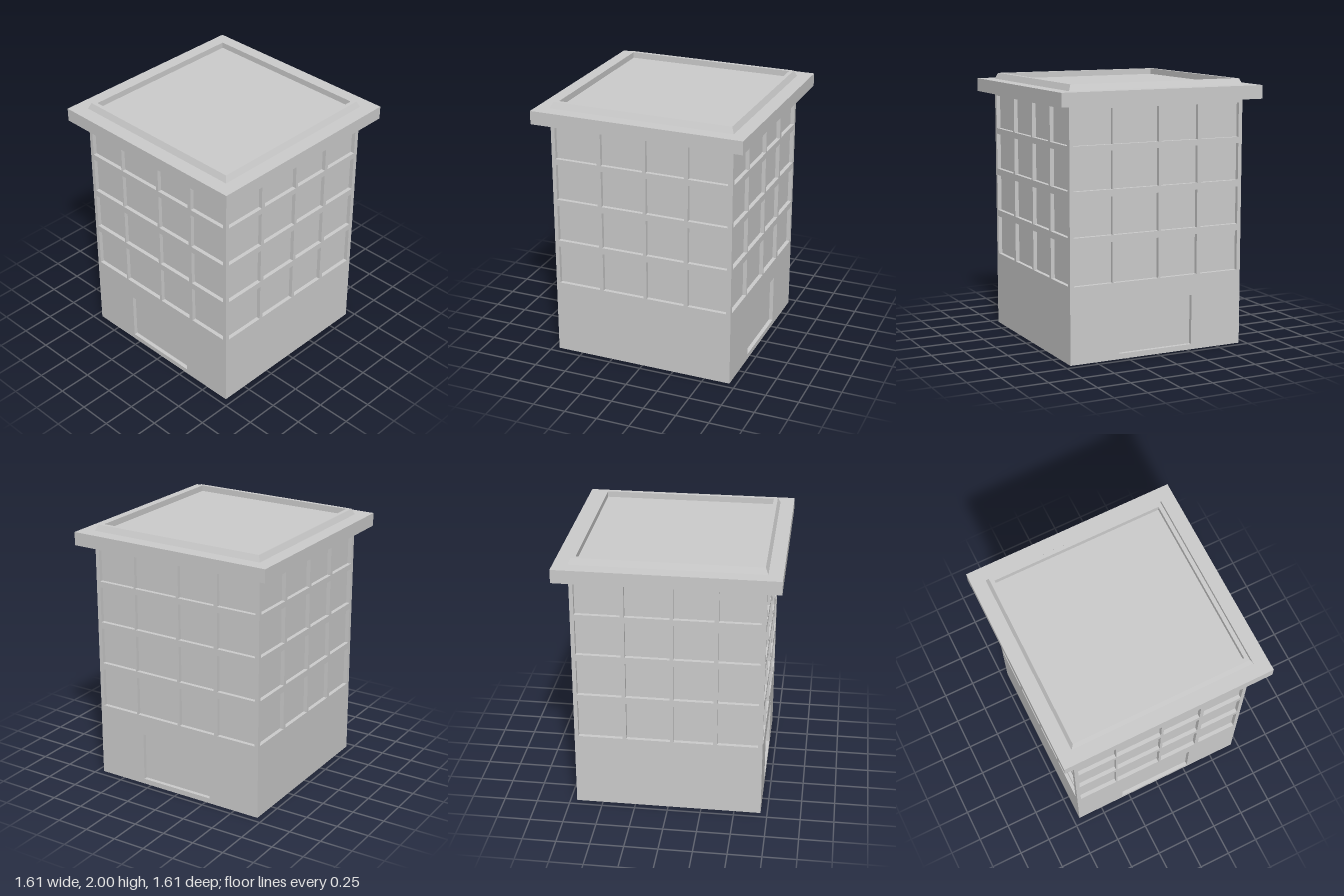
import * as THREE from 'three';

const material = new THREE.MeshStandardMaterial({ color: 0xcccccc, flatShading: true });

const HALF = 0.7;      // half width of the walls
const DEPTH = 0.03;    // depth of the window recesses
const WALL_TOP = 1.855;

const ROWS = [[0.57, 0.87], [0.92, 1.2], [1.25, 1.525], [1.57, 1.825]];
const FRONT_COLUMNS = [[-0.67, -0.34], [-0.31, 0.015], [0.04, 0.335], [0.365, 0.665]];
const SIDE_COLUMNS = [[-0.67, -0.365], [-0.355, 0.005], [0.025, 0.325], [0.355, 0.67]];
SIDE_COLUMNS[1][1] = -0.005 + 0.01;
const DOOR = { u: [-0.31, 0.285], v: [0.04, 0.415] };

function addBox(group, name, w, h, d, y) {
  const mesh = new THREE.Mesh(new THREE.BoxGeometry(w, h, d), material);
  mesh.name = name;
  mesh.position.y = y;
  group.add(mesh);
}

function rectangle(target, [u0, u1], [v0, v1]) {
  target.moveTo(u0, v0);
  target.lineTo(u1, v0);
  target.lineTo(u1, v1);
  target.lineTo(u0, v1);
  target.closePath();
  return target;
}

// One wall facing +z, with openings cut through its thickness
function wallGeometry(columns, door) {
  const shape = rectangle(new THREE.Shape(), [-HALF, HALF], [0, WALL_TOP]);
  for (const row of ROWS) {
    for (const column of columns) shape.holes.push(rectangle(new THREE.Path(), column, row));
  }
  if (door) shape.holes.push(rectangle(new THREE.Path(), door.u, door.v));
  const geometry = new THREE.ExtrudeGeometry(shape, { depth: DEPTH, bevelEnabled: false });
  return geometry.translate(0, 0, HALF - DEPTH);
}

// Square ring swept from a profile of [half width, height] points
function squareLathe(profile) {
  const points = profile.map(([r, y]) => new THREE.Vector2(r * Math.SQRT2, y));
  const geometry = new THREE.LatheGeometry(points, 4, Math.PI / 4).toNonIndexed();
  geometry.computeVertexNormals();
  return geometry;
}

export function createModel() {
  const model = new THREE.Group();
  model.name = 'building';

  // Solid core whose faces are the recessed window and door panes
  const core = 2 * (HALF - DEPTH);
  addBox(model, 'windowPanes', core, WALL_TOP, core, WALL_TOP / 2);

  // Four walls, opposite ones alike; the side walls carry the doorways
  const front = wallGeometry(FRONT_COLUMNS);
  const side = wallGeometry(SIDE_COLUMNS, DOOR);
  ['frontWall', 'leftWall', 'backWall', 'rightWall'].forEach((name, i) => {
    const wall = new THREE.Mesh(i % 2 ? side : front, material);
    wall.name = name;
    wall.rotation.y = (i * Math.PI) / 2;
    model.add(wall);
  });

  // Overhanging roof slab
  addBox(model, 'roofSlab', 1.61, 0.1, 1.61, WALL_TOP + 0.05);

  // Parapet with a sloped outside and a straight inside
  const parapet = new THREE.Mesh(
    squareLathe([[0.7, 1.955], [0.68, 2], [0.65, 2], [0.65, 1.955]]), material);
  parapet.name = 'roofParapet';
  model.add(parapet);

  return model;
}
